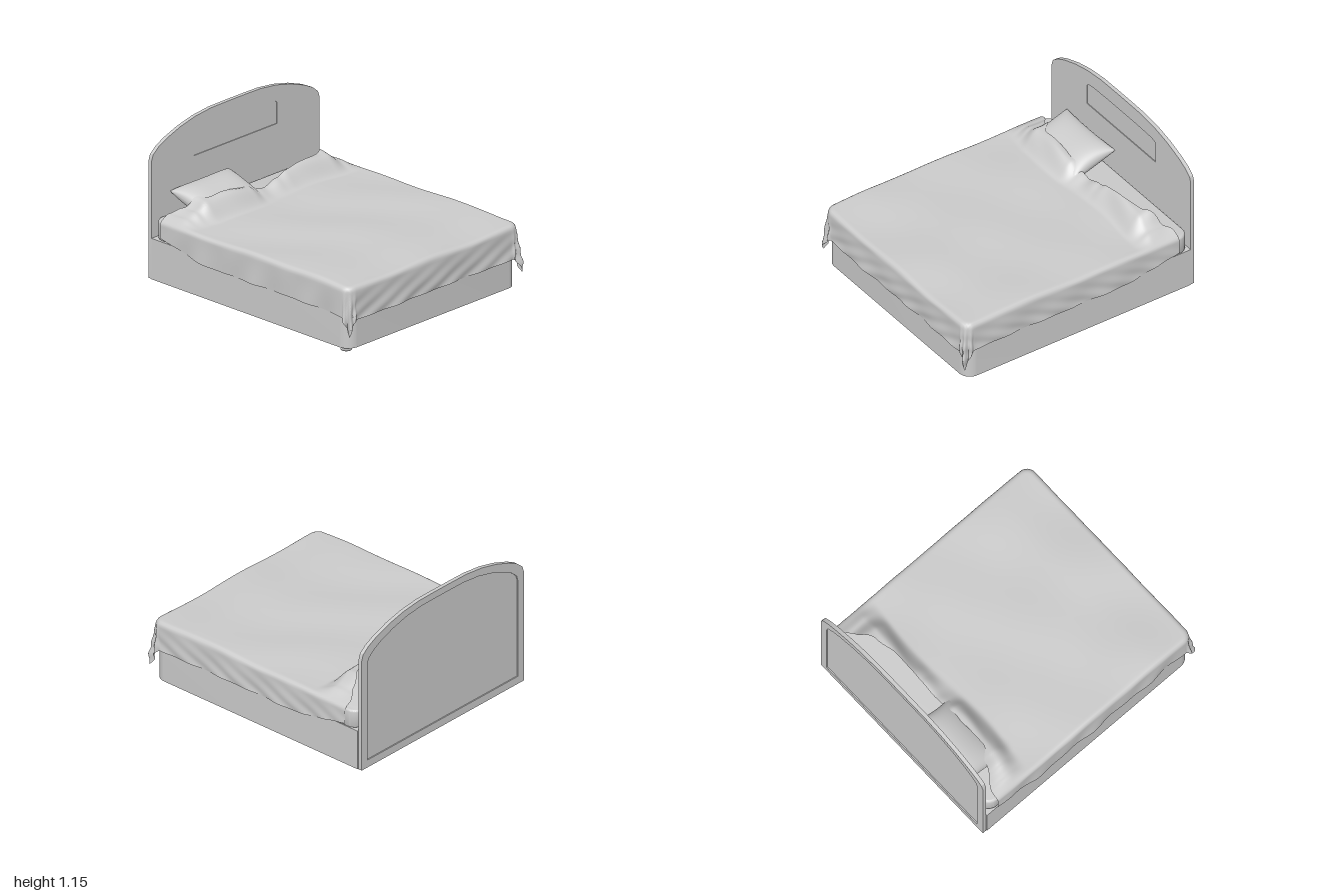
import * as THREE from 'three';
import { toCreasedNormals } from 'three/addons/utils/BufferGeometryUtils.js';

const material = new THREE.MeshStandardMaterial({ color: 0xcccccc, side: THREE.DoubleSide });

function addMesh(parent, name, geometry) {
  const mesh = new THREE.Mesh(geometry, material);
  mesh.name = name;
  parent.add(mesh);
  return mesh;
}

// Piecewise interpolation through [position, value] pairs, smooth in each span
function interp(table, t) {
  if (t <= table[0][0]) return table[0][1];
  for (let i = 1; i < table.length; i++) {
    const [a, va] = table[i - 1], [b, vb] = table[i];
    if (t <= b) return va + (vb - va) * THREE.MathUtils.smoothstep(t, a, b);
  }
  return table[table.length - 1][1];
}

// Slab lying flat: plan outline with separate corner radii at head and foot
function flatSlab(x0, x1, z0, z1, y0, y1, headR, footR, bevel) {
  const s = new THREE.Shape();
  const [a, b, c, d] = [x0 + bevel, x1 - bevel, -z1 + bevel, -z0 - bevel];
  s.moveTo(a + headR, c);
  s.lineTo(b - footR, c);
  s.absarc(b - footR, c + footR, footR, -Math.PI / 2, 0);
  s.lineTo(b, d - footR);
  s.absarc(b - footR, d - footR, footR, 0, Math.PI / 2);
  s.lineTo(a + headR, d);
  if (headR) s.absarc(a + headR, d - headR, headR, Math.PI / 2, Math.PI);
  s.lineTo(a, c + headR);
  if (headR) s.absarc(a + headR, c + headR, headR, Math.PI, Math.PI * 1.5);
  const g = new THREE.ExtrudeGeometry(s, {
    depth: y1 - y0 - 2 * bevel, curveSegments: 10, bevelEnabled: bevel > 0,
    bevelSize: bevel, bevelThickness: bevel, bevelSegments: 4,
  });
  g.rotateX(-Math.PI / 2).translate(0, y0 + bevel, 0);
  return toCreasedNormals(g, 0.7);
}

// Arched headboard outline in (z, y), shrunk by an inset
const arch = [[0.85, 0.92], [0.835, 0.965], [0.78, 1.01], [0.7, 1.05], [0.56, 1.1], [0.41, 1.135], [0.25, 1.153], [0.1, 1.155]];
function archPoints(inset) {
  const half = arch.map(([z, y]) => [z * (1 - inset / 0.85), y - inset * 0.9]);
  const right = [[0.85 - inset, 0.03 + inset], ...half];
  const left = right.map(([z, y]) => [-z, y]).reverse();
  return [...right, ...left].map(([z, y]) => new THREE.Vector2(z - 0.005, y));
}

function uprightSlab(points, hole, xBack, xFront) {
  const s = new THREE.Shape(points);
  if (hole) s.holes.push(new THREE.Path(hole));
  const g = new THREE.ExtrudeGeometry(s, { depth: xFront - xBack, bevelEnabled: false });
  g.rotateY(-Math.PI / 2).translate(xFront, 0, 0);
  return toCreasedNormals(g, 0.5);
}

function buildHeadboard() {
  const group = new THREE.Group();
  group.name = 'headboard';
  const side = [[0.42, 0.84], [0.42, 1.0], [0.405, 1.015], [0.36, 1.025], [0.2, 1.03]];
  const panel = [...side, ...side.map(([z, y]) => [-z, y]).reverse()].map(([z, y]) => new THREE.Vector2(z - 0.005, y));
  addMesh(group, 'headboardCore', uprightSlab(archPoints(0), null, -0.991, -0.976));
  addMesh(group, 'headboardFrontFace', uprightSlab(archPoints(0), panel, -0.976, -0.97));
  addMesh(group, 'headboardBackRim', uprightSlab(archPoints(0), archPoints(0.06), -1, -0.991));
  return group;
}

// Head edge of the duvet, and the rise where it is drawn over the pillows
const headEdge = [[-0.88, -0.86], [-0.76, -0.8], [-0.6, -0.73], [-0.4, -0.7], [0, -0.695], [0.55, -0.7], [0.68, -0.78], [0.88, -0.87]];
const rise = [[-0.86, 0], [-0.75, 0.05], [-0.62, 0.135], [-0.22, 0.12], [-0.13, 0.09], [0, 0.05], [0.08, 0.065],
  [0.18, 0.125], [0.6, 0.135], [0.7, 0.07], [0.78, 0.035], [0.86, 0]];

function duvetGeometry() {
  const R = 0.08, E = 0.032, HX = 0.975, HZ = 0.868, ZC = -0.005, TOP = 0.505;
  const flatSpan = E * (Math.PI / 2 - 1);
  const arc = E * Math.PI / 2;
  const g = new THREE.PlaneGeometry(1, 1, 130, 140).rotateX(-Math.PI / 2);
  const p = g.attributes.position;
  for (let i = 0; i < p.count; i++) {
    const u = p.getX(i) + 0.5, v = p.getZ(i) * 2;
    // Position on the cloth laid out flat
    const reach = HZ + flatSpan - E;
    const edge = interp(headEdge, v * (reach + 0.22));
    const X = edge + (HX + flatSpan - E + 0.25 - edge) * u;
    const hem = 0.225 - 0.1 * (1 - THREE.MathUtils.smoothstep(X, -1.0, -0.35)) ;
    const Z = v * (reach + hem);
    // Fold what lies beyond the mattress edge downwards
    const cx = Math.min(X, HX - R), cz = THREE.MathUtils.clamp(Z, -(HZ - R), HZ - R);
    const qx = X - cx, qz = Z - cz, d = Math.hypot(qx, qz);
    let out = d, drop = 0;
    const over = d - (R - E);
    if (over > arc) { out = R; drop = E + over - arc; }
    else if (over > 0) { out = R - E + E * Math.sin(over / E); drop = E * (1 - Math.cos(over / E)); }
    // Wrinkles on the hanging sides and bunching at the foot corners
    const hang = Math.min(drop / 0.2, 1.5);
    const corner = d > 0 ? 2 * Math.abs(qx * qz) / (d * d) : 0;
    out += hang * (0.006 * Math.sin(X * 13 + Z * 4) * Math.sin(Z * 9 + 1) + 0.004 * Math.sin((X - Z) * 23 + drop * 30));
    out += hang * corner * (0.018 + 0.014 * Math.sin(Math.atan2(Math.abs(qz), qx) * 12));
    // Soft waves on top and the raised fold over the pillows
    const wave = 0.005 * Math.sin(Z * 8 + X * 2.2 + Math.sin(X * 4)) + 0.003 * Math.sin(X * 9 - Z * 5);
    const foldX = -0.61 + 0.02 * Math.sin(Z * 5);
    const lift = interp(rise, Z) * (1 - THREE.MathUtils.smoothstep(X, foldX - 0.08, foldX + 0.07));
    const crease = 0.008 * Math.sin(Z * 16 + X * 25) * (1 - THREE.MathUtils.smoothstep(X, -0.65, -0.5));
    const topFade = Math.max(0, 1 - drop / 0.05);
    const y = TOP - 0.01 * THREE.MathUtils.smoothstep(X, 0.6, 1) - drop + topFade * (wave + lift + crease * Math.min(1, lift / 0.1));
    const k = d > 0 ? out / d : 0;
    p.setXYZ(i, cx + qx * k, y, ZC + cz + qz * k);
  }
  g.computeVertexNormals();
  return g;
}

// Plump cushion: thickness fades to the seam, sides draw in between the corners
function pillowGeometry(halfX, halfZ, halfY) {
  const parts = [1, -1].map((sign) => {
    const g = new THREE.PlaneGeometry(2, 2, 30, 36).rotateX(-Math.PI / 2);
    const p = g.attributes.position;
    for (let i = 0; i < p.count; i++) {
      const a = Math.sin(p.getX(i) * Math.PI / 2), b = Math.sin(p.getZ(i) * Math.PI / 2);
      const puff = Math.pow(Math.max(0, (1 - a * a) * (1 - b ** 4)), 0.45);
      p.setXYZ(i, a * halfX * (1 - 0.06 * (1 - b * b)), sign * halfY * puff, b * halfZ * (1 - 0.06 * (1 - a * a)));
    }
    if (sign < 0) g.setIndex(Array.from(g.index.array).reverse());
    g.computeVertexNormals();
    return g;
  });
  return parts;
}

export function createModel() {
  const model = new THREE.Group();
  model.name = 'bed';

  model.add(buildHeadboard());
  addMesh(model, 'base', flatSlab(-0.966, 0.96, -0.86, 0.85, 0.03, 0.34, 0, 0.09, 0));
  addMesh(model, 'mattress', flatSlab(-0.955, 0.955, -0.865, 0.845, 0.34, 0.485, 0.07, 0.08, 0.018));
  addMesh(model, 'duvet', duvetGeometry());

  // Pillow leaning towards the headboard, tucked under the duvet
  const pillow = new THREE.Group();
  pillow.name = 'pillow';
  const [upper, lower] = pillowGeometry(0.185, 0.295, 0.082);
  addMesh(pillow, 'pillowTop', upper);
  addMesh(pillow, 'pillowUnderside', lower);
  pillow.position.set(-0.795, 0.582, 0.362);
  pillow.rotation.z = -0.33;
  model.add(pillow);

  // Small turned foot under the front corner
  const profile = [[0, 0], [0.04, 0], [0.04, 0.006], [0.03, 0.012], [0.027, 0.022], [0.032, 0.031], [0, 0.031]];
  const foot = addMesh(model, 'foot', toCreasedNormals(
    new THREE.LatheGeometry(profile.map(([r, y]) => new THREE.Vector2(r, y)), 24), 0.6));
  foot.position.set(0.88, 0, 0.79);

  return model;
}
